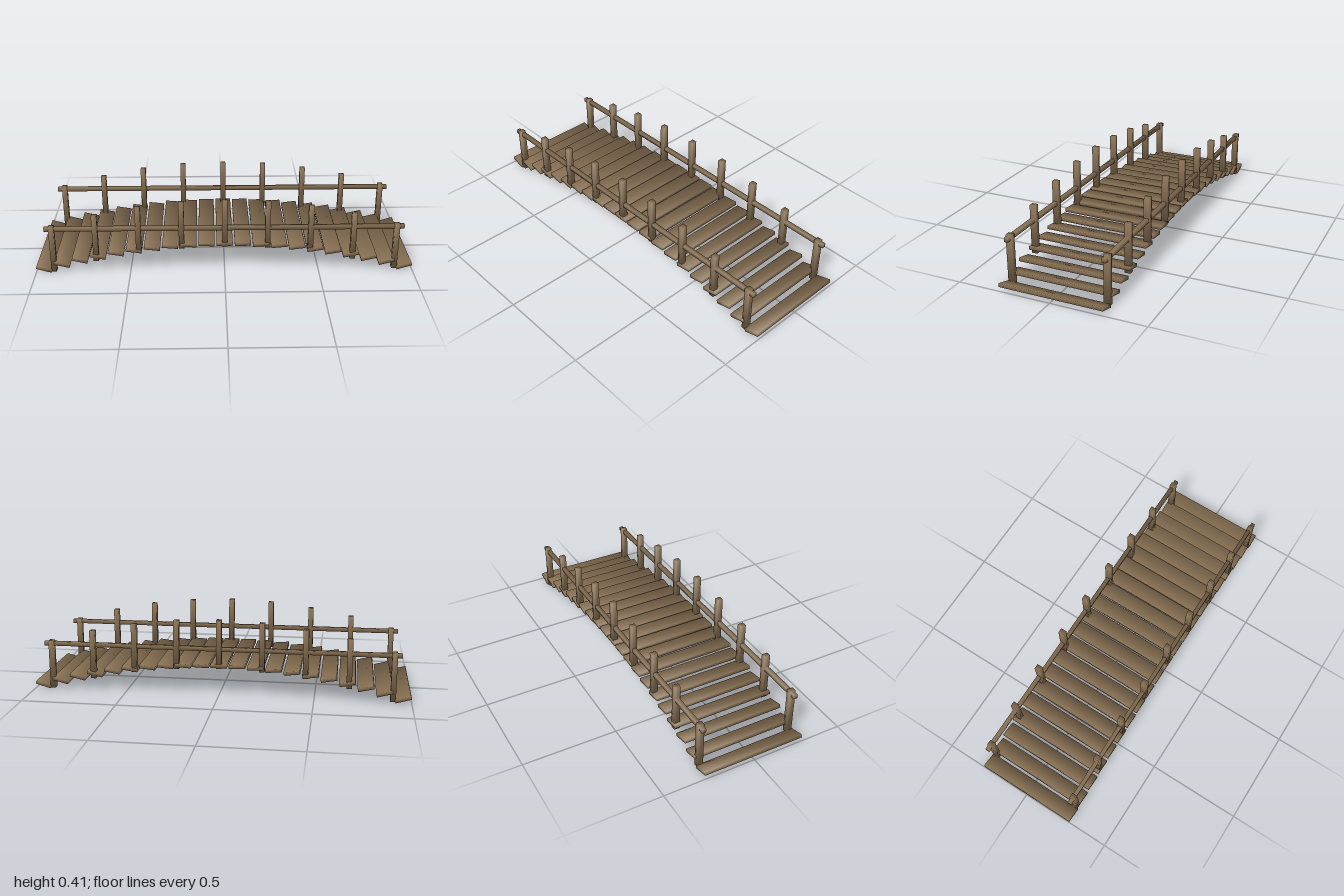
import * as THREE from 'three';

// Box whose normals blend around the corners for soft, worn-looking wood
function softBox(w, h, d) {
  const g = new THREE.BoxGeometry(w, h, d);
  const p = g.attributes.position;
  const n = new THREE.Vector3();
  for (let i = 0; i < p.count; i++) {
    n.set(Math.sign(p.getX(i)), Math.sign(p.getY(i)), Math.sign(p.getZ(i))).normalize();
    g.attributes.normal.setXYZ(i, n.x, n.y, n.z);
  }
  return g;
}

export function createModel() {
  const bridge = new THREE.Group();
  bridge.name = 'footbridge';
  const wood = new THREE.MeshStandardMaterial({ color: 0x8b7355 });
  wood.name = 'weathered wood';

  const add = (name, geometry, x, y, z, tilt = 0) => {
    const mesh = new THREE.Mesh(geometry, wood);
    mesh.name = name;
    mesh.position.set(x, y, z);
    mesh.rotation.z = tilt;
    bridge.add(mesh);
  };

  const rise = 0.14;       // height of the parabolic arch
  const halfSpan = 0.957;  // centre of the outermost plank
  const railZ = 0.257;

  // Deck: 21 planks along the arch, each tilted against the slope
  const plank = softBox(0.085, 0.018, 0.555);
  for (let i = -10; i <= 10; i++) {
    const u = i / 10;
    const tilt = Math.atan(2 * rise * u / halfSpan);
    add('plank', plank, u * halfSpan, 0.162 - rise * u * u, 0, tilt);
  }

  // Railings: nine posts following the arch and one straight rail per side
  const post = softBox(0.028, 0.261, 0.031);
  const rail = softBox(1.886, 0.022, 0.021);
  for (const side of [-1, 1]) {
    for (let i = -4; i <= 4; i++) {
      const u = i / 4;
      add('post', post, u * 0.905, 0.2765 - rise * u * u, side * railZ);
    }
    add('handrail', rail, 0, 0.25, side * railZ);
  }
  return bridge;
}
